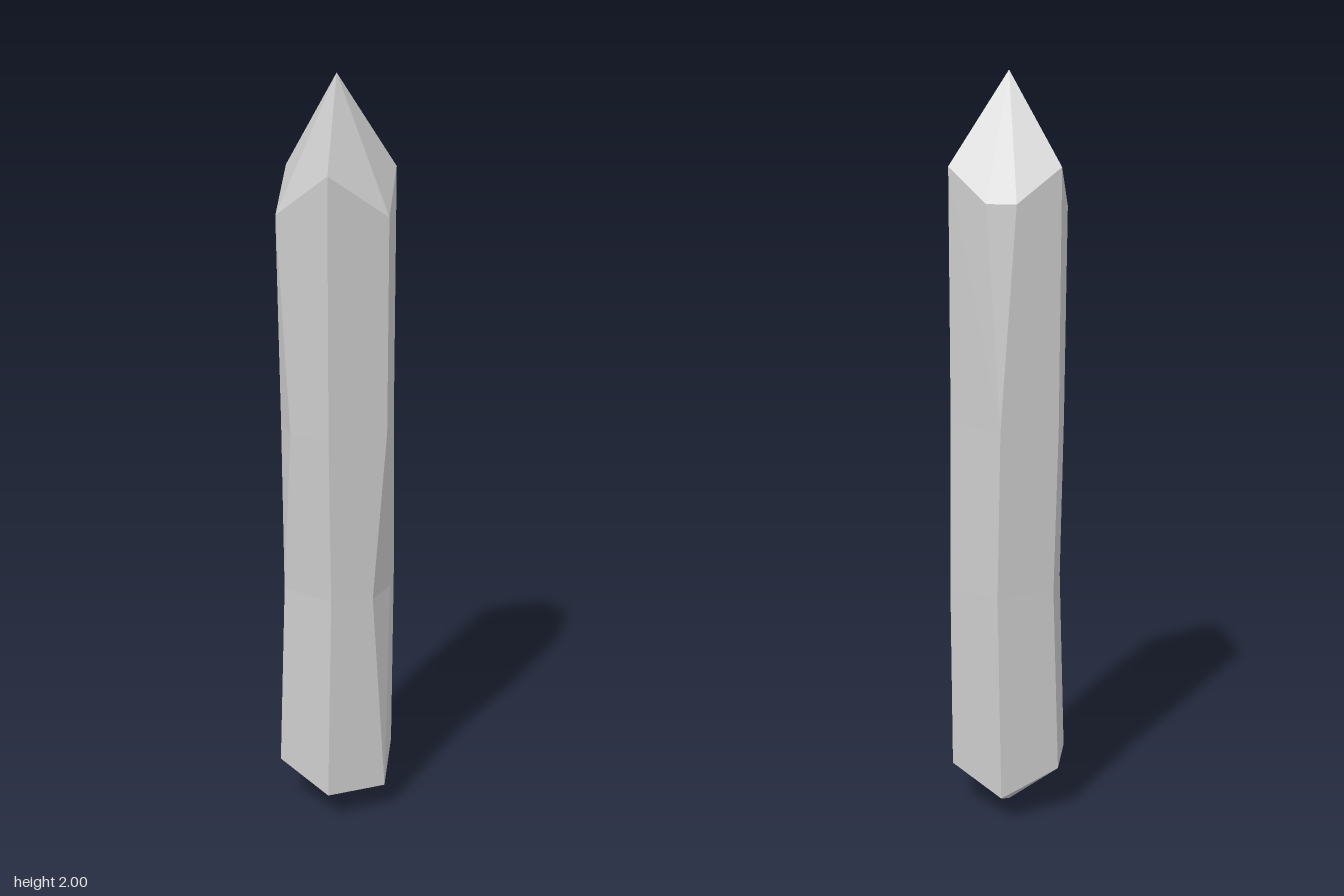
import * as THREE from 'three';

const R = 0.168;

// Hexagonal ring of corner points, starting at +x and turning towards +z.
// Each corner holds two points; they coincide unless the corner is chipped.
function ring(heights, { rx = R, rz = R, dx = 0, dz = 0, chips = {} }) {
  return heights.flatMap((y, i) => {
    const a = (i * Math.PI) / 3;
    const p = [dx + rx * Math.cos(a), y, dz + rz * Math.sin(a)];
    return chips[i] ?? [p, p];
  });
}

export function createModel() {
  const rings = [
    // Lower shoulder
    ring([0.075, 0.075, 0.135, 0.135, 0.075, 0.135], {}),
    // Waist, leaning back, with a chip on the +x edge
    ring(Array(6).fill(0.64), {
      rx: 0.16, rz: 0.163, dx: 0.005, dz: -0.008,
      chips: { 0: [[0.137, 0.64, -0.06], [0.146, 0.63, 0.03]] },
    }),
    // Upper body, with a chip on the front -x edge
    ring(Array(6).fill(1.09), {
      rx: 0.165, rz: 0.165, dx: 0.002,
      chips: { 2: [[-0.042, 1.08, 0.143], [-0.106, 1.09, 0.104]] },
    }),
    // Upper shoulder, with a chip on the back -x edge
    ring([1.65, 1.76, 1.65, 1.76, 1.65, 1.76], {
      chips: { 4: [[-0.106, 1.67, -0.108], [-0.036, 1.67, -0.143]] },
    }),
  ];

  const positions = [];
  const same = (p, q) => p.every((v, k) => v === q[k]);
  const tri = (a, b, c) => {
    if (!same(a, b) && !same(b, c) && !same(c, a)) positions.push(...a, ...b, ...c);
  };

  const base = [0, 0, 0];
  const tip = [0, 2, 0];
  for (let i = 0; i < 12; i++) {
    const n = (i + 1) % 12;
    // Long side facets
    for (let k = 0; k < rings.length - 1; k++) {
      const lo = rings[k], hi = rings[k + 1];
      tri(lo[i], hi[i], hi[n]);
      tri(lo[i], hi[n], lo[n]);
    }
    // Pointed ends
    const top = rings[rings.length - 1];
    tri(top[i], tip, top[n]);
    tri(base, rings[0][i], rings[0][n]);
  }

  const geometry = new THREE.BufferGeometry();
  geometry.setAttribute('position', new THREE.Float32BufferAttribute(positions, 3));
  geometry.computeVertexNormals();

  const crystal = new THREE.Mesh(
    geometry,
    new THREE.MeshStandardMaterial({ color: 0xcccccc, flatShading: true })
  );
  crystal.name = 'crystal';

  const group = new THREE.Group();
  group.name = 'crystalShard';
  group.add(crystal);
  return group;
}
